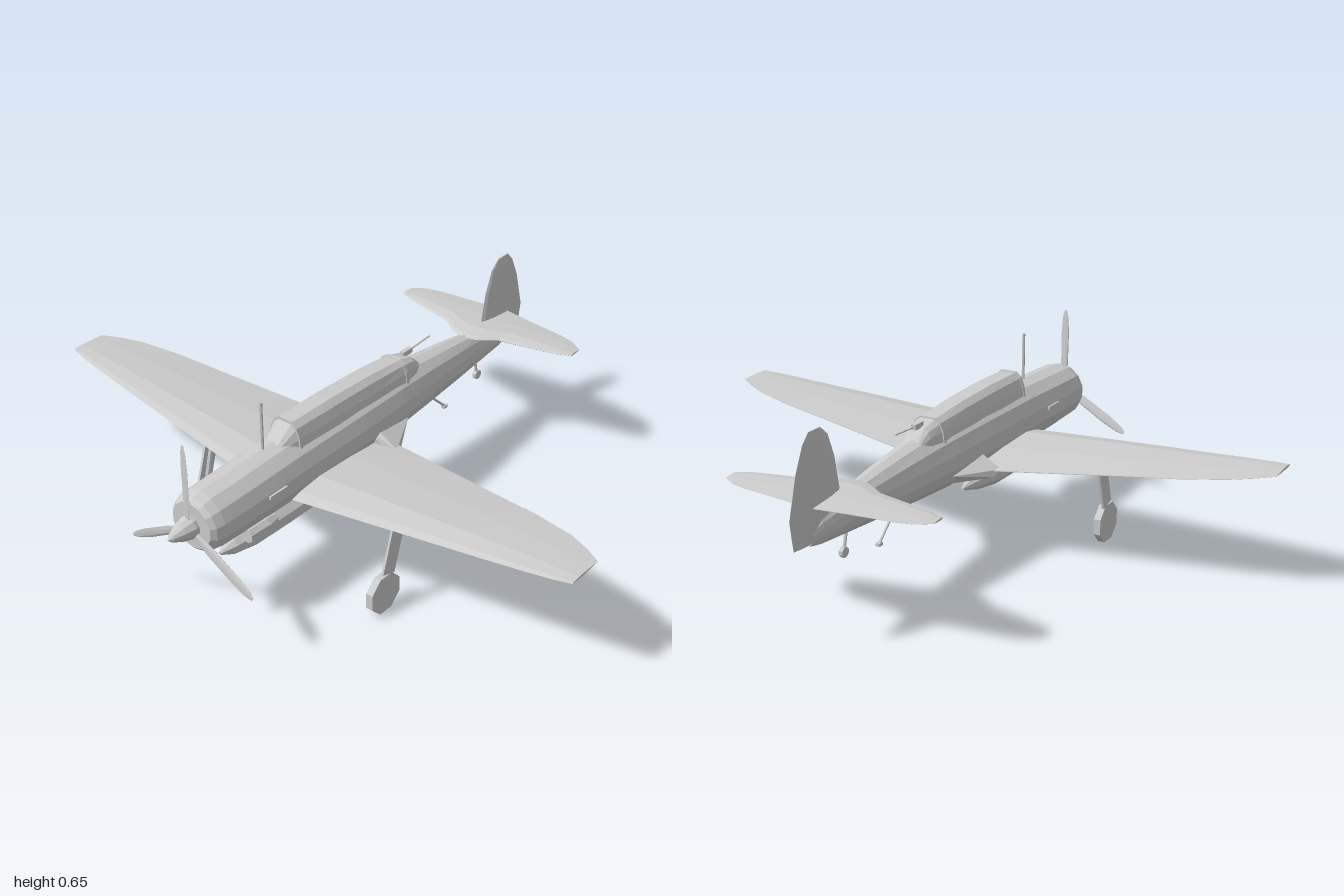
import * as THREE from 'three';
import { ConvexGeometry } from 'three/addons/geometries/ConvexGeometry.js';

const V = (x, y, z) => new THREE.Vector3(x, y, z);
const material = new THREE.MeshStandardMaterial({ color: 0xcccccc, flatShading: true });

function add(parent, name, geometry) {
  const mesh = new THREE.Mesh(geometry, material);
  mesh.name = name;
  parent.add(mesh);
  return mesh;
}

// Skin a list of equal-length closed rings, cap both ends, face outwards.
function loft(rings) {
  const n = rings[0].length, tris = [];
  for (let i = 0; i < rings.length - 1; i++) {
    for (let j = 0; j < n; j++) {
      const k = (j + 1) % n, a = rings[i], b = rings[i + 1];
      tris.push([a[j], a[k], b[k]], [a[j], b[k], b[j]]);
    }
  }
  const first = rings[0], last = rings[rings.length - 1];
  for (let j = 1; j < n - 1; j++) {
    tris.push([first[0], first[j + 1], first[j]], [last[0], last[j], last[j + 1]]);
  }
  const volume = tris.reduce((s, [a, b, c]) => s + a.dot(b.clone().cross(c)), 0);
  const points = tris.flatMap(t => (volume < 0 ? [t[0], t[2], t[1]] : t));
  const geometry = new THREE.BufferGeometry().setFromPoints(points);
  geometry.computeVertexNormals();
  return geometry;
}

// Elliptical body along z: stations are [z, bottom, top, halfWidth].
function body(stations, sides, x = 0) {
  return loft(stations.map(([z, lo, hi, w]) => Array.from({ length: sides }, (_, i) => {
    const a = ((i + 0.5) / sides) * Math.PI * 2;
    const fit = 1 / Math.cos(Math.PI / sides);
    return V(x + Math.cos(a) * w * fit, (lo + hi) / 2 + Math.sin(a) * (hi - lo) / 2 * fit, z);
  })));
}

// Lens-shaped wing section: [chord fraction, half-thickness factor].
const SECTION = [[0, 0], [0.06, 0.55], [0.25, 1], [0.6, 0.75], [1, 0.04],
  [1, -0.04], [0.6, -0.75], [0.25, -1], [0.06, -0.55]];

// Foil stations are [span, front, back, halfThickness, ...rest]; place(span, chord, height, rest) gives the point.
function foil(stations, place) {
  return loft(stations.map(([s, f, b, t, off = 0]) =>
    SECTION.map(([c, h]) => place(s, f + (b - f) * c, off + h * t))));
}

const mirrored = list => [...list.map(([s, ...r]) => [-s, ...r]).reverse(), ...list];

function rod(parent, name, a, b, r, sides = 6) {
  const mesh = add(parent, name, new THREE.CylinderGeometry(r, r, a.distanceTo(b), sides));
  mesh.position.copy(a).add(b).multiplyScalar(0.5);
  mesh.quaternion.setFromUnitVectors(V(0, 1, 0), b.clone().sub(a).normalize());
  return mesh;
}

function box(parent, name, w, h, d, x, y, z) {
  const mesh = add(parent, name, new THREE.BoxGeometry(w, h, d));
  mesh.position.set(x, y, z);
  return mesh;
}

export function createModel() {
  const plane = new THREE.Group();
  plane.name = 'aircraft';

  add(plane, 'fuselage', body([
    [0.775, 0.295, 0.445, 0.074], [0.76, 0.28, 0.457, 0.087], [0.73, 0.273, 0.465, 0.093],
    [0.6, 0.268, 0.47, 0.095], [0.4, 0.265, 0.478, 0.095], [0.1, 0.264, 0.48, 0.094],
    [-0.1, 0.267, 0.475, 0.087], [-0.25, 0.274, 0.463, 0.075], [-0.45, 0.285, 0.44, 0.057],
    [-0.62, 0.295, 0.415, 0.038], [-0.74, 0.302, 0.385, 0.02], [-0.785, 0.31, 0.355, 0.007],
  ], 14));

  // Long glazed canopy: [z, base, top, half width]
  const canopy = [[0.44, 0.455, 0.465, 0.03], [0.37, 0.435, 0.525, 0.06], [0.36, 0.435, 0.53, 0.063],
    [0.2, 0.43, 0.532, 0.066], [0, 0.43, 0.525, 0.064], [-0.15, 0.435, 0.512, 0.06],
    [-0.21, 0.44, 0.496, 0.05], [-0.25, 0.445, 0.462, 0.035]];
  const arch = (list, grow) => loft(list.map(([z, lo, hi, w]) =>
    [[1, 0], [0.9, 0.5], [0.72, 0.82], [0.42, 1], [-0.42, 1], [-0.72, 0.82], [-0.9, 0.5], [-1, 0]]
      .map(([x, h]) => V(x * (w + grow), lo + (hi - lo) * h + grow * h, z))));
  add(plane, 'canopy', arch(canopy, 0));
  for (const [z, top, w] of [[0.365, 0.53, 0.062], [-0.15, 0.512, 0.06]]) {
    add(plane, 'canopyFrame', arch([[z + 0.006, 0.435, top, w], [z - 0.006, 0.435, top, w]], 0.003));
  }

  // Main wing with dihedral, tip to tip
  add(plane, 'wing', foil(mirrored([
    [0.06, 0.435, -0.01, 0.036, 0.306], [0.3, 0.412, 0.03, 0.03, 0.328], [0.55, 0.388, 0.072, 0.022, 0.351],
    [0.73, 0.37, 0.1, 0.016, 0.367], [0.87, 0.355, 0.135, 0.011, 0.38],
    [0.945, 0.345, 0.17, 0.008, 0.387], [1, 0.333, 0.205, 0.004, 0.392],
  ]), (s, c, h) => V(s, h, c)));

  for (const side of [1, -1]) {
    // Trailing fillet between wing and fuselage
    add(plane, 'wingFillet', new ConvexGeometry([
      V(side * 0.06, 0.355, 0.05), V(side * 0.095, 0.352, 0.03), V(side * 0.16, 0.315, 0.03),
      V(side * 0.15, 0.295, 0.0), V(side * 0.06, 0.28, 0.04), V(side * 0.14, 0.295, 0.04),
      V(side * 0.06, 0.335, -0.13), V(side * 0.078, 0.325, -0.13), V(side * 0.06, 0.29, -0.1),
    ]));
    box(plane, 'exhaust', 0.02, 0.012, 0.075, side * 0.092, 0.385, 0.512);

    // Main landing gear
    const gear = new THREE.Group();
    gear.name = 'mainGear';
    gear.position.x = side * 0.375;
    plane.add(gear);
    const cover = box(gear, 'gearCover', 0.008, 0.185, 0.056, side * 0.008, 0.22, 0.325);
    cover.rotation.x = -0.28 + Math.PI;
    cover.rotation.x = -Math.atan2(0.055, 0.18);
    rod(gear, 'gearLeg', V(0, 0.33, 0.3), V(0, 0.065, 0.365), 0.009, 8);
    const wheel = add(gear, 'wheel', new THREE.CylinderGeometry(0.07, 0.07, 0.024, 8)
      .rotateY(Math.PI / 8).rotateZ(Math.PI / 2));
    wheel.position.set(0, 0.065, 0.365);
  }

  // Tail surfaces
  add(plane, 'tailplane', foil(mirrored([
    [0.01, -0.53, -0.78, 0.016], [0.05, -0.54, -0.774, 0.015], [0.11, -0.585, -0.765, 0.013],
    [0.26, -0.62, -0.748, 0.009], [0.31, -0.632, -0.735, 0.007], [0.355, -0.652, -0.705, 0.003],
  ]), (s, c, h) => V(s, 0.424 + h, c)));
  add(plane, 'fin', foil([
    [0.32, -0.78, -0.86, 0.007], [0.36, -0.68, -0.867, 0.012], [0.415, -0.63, -0.875, 0.014],
    [0.54, -0.655, -0.84, 0.011], [0.615, -0.685, -0.805, 0.007], [0.645, -0.72, -0.775, 0.003],
  ], (s, c, h) => V(h, s, c)));

  // Propeller and spinner
  const propeller = new THREE.Group();
  propeller.name = 'propeller';
  propeller.position.set(0, 0.37, 0.787);
  plane.add(propeller);
  add(propeller, 'spinner', new THREE.LatheGeometry(
    [[0, -0.02], [0.034, -0.02], [0.037, 0], [0.028, 0.035], [0.013, 0.068], [0, 0.083]]
      .map(([r, y]) => new THREE.Vector2(r, y)), 10).rotateX(Math.PI / 2));
  for (let i = 0; i < 3; i++) {
    const blade = add(propeller, 'blade', foil([
      [0.01, -0.009, 0.009, 0.006], [0.09, -0.016, 0.016, 0.005], [0.2, -0.017, 0.017, 0.004],
      [0.255, -0.013, 0.013, 0.003], [0.28, -0.005, 0.005, 0.002],
    ], (s, c, h) => V(c * 0.97, s, h + c * 0.25)));
    blade.rotation.z = i * Math.PI * 2 / 3;
  }

  // Slung tank and its pylon
  add(plane, 'bellyTank', body([
    [0.67, 0.203, 0.213, 0.005], [0.62, 0.182, 0.235, 0.026], [0.53, 0.168, 0.248, 0.039],
    [0.4, 0.166, 0.25, 0.041], [0.25, 0.167, 0.249, 0.04], [0.14, 0.182, 0.236, 0.027], [0.06, 0.203, 0.213, 0.005],
  ], 8));
  box(plane, 'tankPylon', 0.025, 0.06, 0.21, 0, 0.255, 0.335);

  // Offset intake under the cowling
  add(plane, 'intake', body([
    [0.63, 0.262, 0.308, 0.024], [0.55, 0.26, 0.308, 0.027], [0.51, 0.272, 0.3, 0.018],
  ], 8, 0.073));

  rod(plane, 'antennaMast', V(0, 0.46, 0.47), V(0, 0.637, 0.47), 0.005);

  // Rear gun
  rod(plane, 'gunBarrel', V(0, 0.502, -0.19), V(0, 0.51, -0.34), 0.003);
  box(plane, 'gunBody', 0.016, 0.018, 0.045, 0, 0.504, -0.215);
  rod(plane, 'gunMount', V(0, 0.46, -0.21), V(0, 0.505, -0.21), 0.006);

  // Arrestor hook and tail wheel
  rod(plane, 'hookArm', V(0, 0.285, -0.335), V(0, 0.195, -0.435), 0.004);
  box(plane, 'hookEnd', 0.014, 0.01, 0.02, 0, 0.192, -0.436);
  rod(plane, 'tailWheelLeg', V(0, 0.305, -0.605), V(0, 0.235, -0.622), 0.005);
  const tailWheel = add(plane, 'tailWheel', new THREE.CylinderGeometry(0.017, 0.017, 0.014, 8)
    .rotateY(Math.PI / 8).rotateZ(Math.PI / 2));
  tailWheel.position.set(0, 0.235, -0.622);

  return plane;
}
